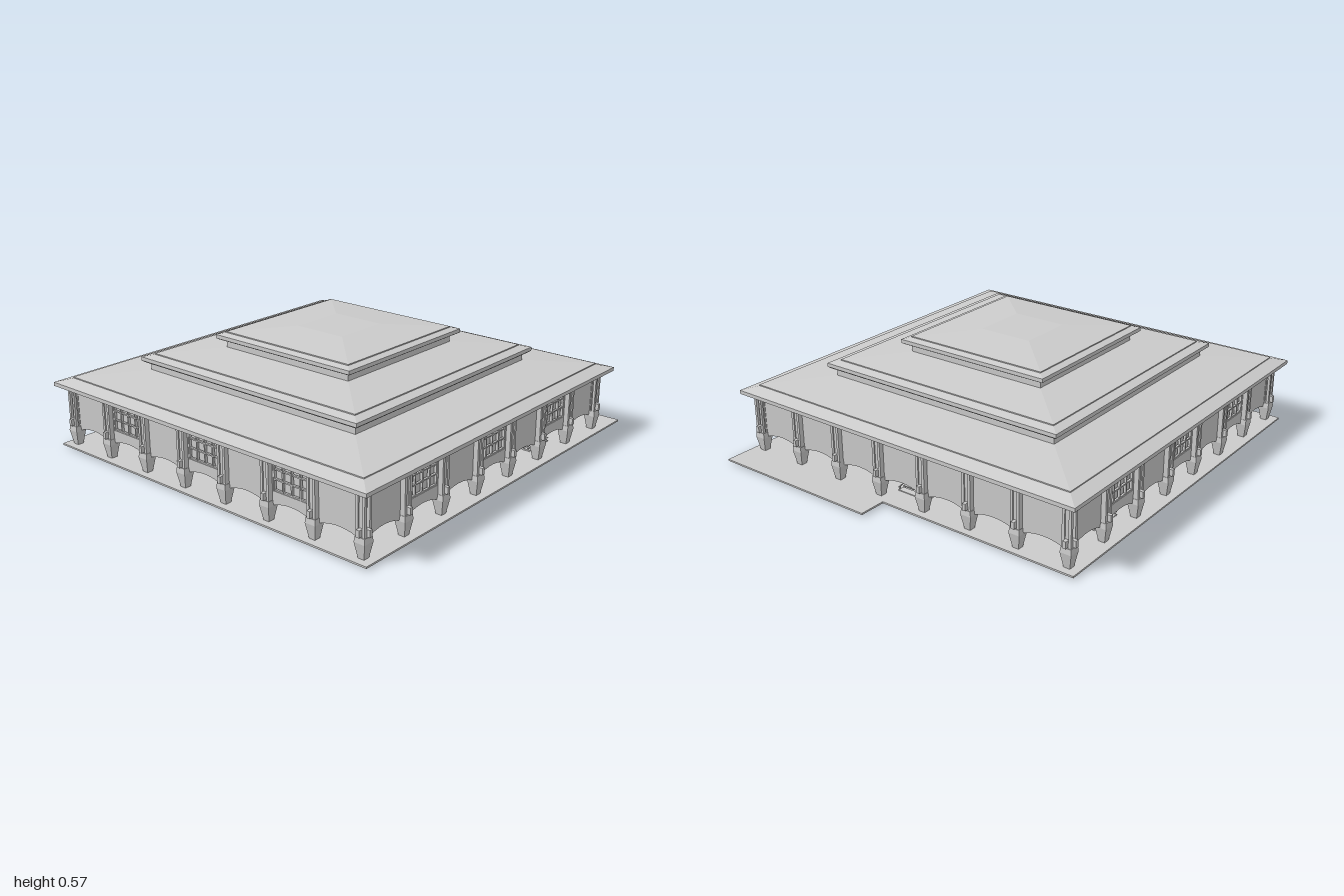
import * as THREE from 'three';

const mat = new THREE.MeshStandardMaterial({ color: 0xcccccc, side: THREE.DoubleSide });
const CX = -0.06;      // building axis
const LINE = 0.875;    // column line, measured from the axis
const BAY = 0.25;

function add(parent, name, geo, x = 0, y = 0, z = 0) {
  const m = new THREE.Mesh(geo, mat);
  m.name = name;
  m.position.set(x, y, z);
  parent.add(m);
  return m;
}
const box = (w, h, d) => new THREE.BoxGeometry(w, h, d);

// Square solid from a profile of [half width, height] pairs
function squareLathe(profile) {
  const pts = profile.map(([r, y]) => new THREE.Vector2(r * Math.SQRT2, y));
  const g = new THREE.LatheGeometry(pts, 4, Math.PI / 4).toNonIndexed();
  g.computeVertexNormals();
  return g;
}

// L-shaped paving, wider along the front half of the left side
function paving(inset, h) {
  const a = inset, s = new THREE.Shape();
  [[-0.985 + a, -0.93 + a], [0.995 - a, -0.93 + a], [0.995 - a, -0.07 - a],
    [0.865 - a, -0.07 - a], [0.865 - a, 0.93 - a], [-0.985 + a, 0.93 - a]]
    .forEach(([x, y], i) => (i ? s.lineTo(x, y) : s.moveTo(x, y)));
  return new THREE.ExtrudeGeometry(s, { depth: h, bevelEnabled: false }).rotateX(-Math.PI / 2);
}

// Wall of seven bays with arched lower edge and optional window holes
function wallGeometry(windowBays) {
  const s = new THREE.Shape();
  const half = 3.5 * BAY;
  s.moveTo(-half, 0.302);
  s.lineTo(-half, 0.083);
  for (let i = 0; i < 7; i++) {
    const x = -half + i * BAY;
    s.lineTo(x + 0.025, 0.088);
    s.quadraticCurveTo(x + BAY / 2, 0.126, x + BAY - 0.025, 0.088);
    s.lineTo(x + BAY, 0.083);
  }
  s.lineTo(half, 0.302);
  for (const i of windowBays) {
    const x = (i - 3) * BAY, h = new THREE.Path();
    h.moveTo(x - 0.098, 0.152);
    h.lineTo(x - 0.098, 0.298);
    h.lineTo(x + 0.098, 0.298);
    h.lineTo(x + 0.098, 0.152);
    h.closePath();
    s.holes.push(h);
  }
  return new THREE.ExtrudeGeometry(s, { depth: 0.02, bevelEnabled: false, curveSegments: 10 });
}

function windowUnit(x) {
  const g = new THREE.Group();
  g.name = 'window';
  g.position.set(x, 0.225, 0.865);
  add(g, 'pane', box(0.196, 0.146, 0.004), 0, 0, -0.012);
  for (const u of [-0.095, -0.048, 0, 0.048, 0.095]) add(g, 'mullion', box(0.006, 0.146, 0.012), u, 0, 0);
  for (const v of [-0.07, -0.022, 0.022, 0.07]) add(g, 'glazingBar', box(0.196, 0.006, 0.01), 0, v, 0);
  return g;
}

// Tapered leg, paired posts and a small projecting bracket
function column(corner) {
  const g = new THREE.Group();
  g.name = corner ? 'cornerColumn' : 'column';
  add(g, 'leg', squareLathe([[0, 0.015], [0.015, 0.015], [0.027, 0.085], [0.024, 0.11], [0, 0.11]]));
  add(g, 'postCore', box(0.02, 0.2, 0.03), 0, 0.205, 0);
  const depths = corner ? [-0.015, 0.015] : [0];
  for (const x of [-0.016, 0.016]) for (const z of depths)
    add(g, 'post', box(0.013, 0.2, corner ? 0.013 : 0.042), x, 0.205, z);
  add(g, 'bracket', box(0.016, 0.032, 0.04), 0, 0.13, 0.017);
  if (corner) add(g, 'bracket', box(0.04, 0.032, 0.016), 0.017, 0.13, 0);
  return g;
}

// Short flight with handrails, descending towards +z
function stairs() {
  const g = new THREE.Group();
  g.name = 'stairs';
  const n = 5, run = 0.034;
  for (let i = 0; i < n; i++)
    add(g, 'tread', box(0.165, 0.004, 0.032), 0, 0.048 - i * 0.007, 0.657 + i * run);
  for (const x of [-0.08, 0.08]) {
    const stringer = add(g, 'stringer', box(0.005, 0.008, 0.175), x, 0.03, 0.725);
    const rail = add(g, 'handrail', box(0.004, 0.004, 0.175), x, 0.052, 0.725);
    stringer.rotation.x = rail.rotation.x = 0.2;
    for (const i of [0, 2, 4]) add(g, 'railPost', box(0.004, 0.026, 0.004), x, 0.053 - i * 0.008, 0.65 + i * 0.0375);
  }
  return g;
}

export function createModel() {
  const model = new THREE.Group();
  model.name = 'pavilion';
  add(model, 'pavingBase', paving(0.02, 0.008));
  add(model, 'pavingTop', paving(0, 0.008), 0, 0.008, 0);

  const hall = new THREE.Group();
  hall.name = 'hall';
  hall.position.x = CX;
  model.add(hall);

  // Raised floor and the recessed core beneath it
  add(hall, 'floor', box(1.73, 0.01, 1.73), 0, 0.11, 0);
  add(hall, 'undercroft', box(1.08, 0.075, 1.26), -0.15, 0.0725, 0);

  // Three stacked roofs with stepped eaves
  add(hall, 'lowerRoof', squareLathe([[0, 0.302], [0.93, 0.302], [0.94, 0.307], [0.94, 0.325],
    [0.875, 0.343], [0.875, 0.348], [0.62, 0.375]]));
  add(hall, 'middleWall', squareLathe([[0.62, 0.37], [0.62, 0.415]]));
  add(hall, 'middleRoof', squareLathe([[0.6, 0.412], [0.64, 0.412], [0.65, 0.42], [0.65, 0.438],
    [0.605, 0.448], [0.605, 0.453], [0.37, 0.476]]));
  add(hall, 'upperWall', squareLathe([[0.37, 0.47], [0.37, 0.518]]));
  add(hall, 'upperRoof', squareLathe([[0.35, 0.514], [0.395, 0.514], [0.405, 0.52], [0.405, 0.538],
    [0.37, 0.546], [0.37, 0.551], [0.135, 0.571], [0, 0.571]]));

  // Four sides: front, left, back, right
  ['frontSide', 'leftSide', 'backSide', 'rightSide'].forEach((name, k) => {
    const side = new THREE.Group();
    side.name = name;
    side.rotation.y = k * Math.PI / 2;
    hall.add(side);
    const bays = k === 1 ? [] : [1, 3, 5];
    add(side, 'archedWall', wallGeometry(bays), 0, 0, 0.853);
    bays.forEach((i) => side.add(windowUnit((i - 3) * BAY)));
    add(side, 'wallPlate', box(1.76, 0.01, 0.012), 0, 0.297, 0.877);
    for (let i = 1; i <= 7; i++) {
      const c = column(i === 7);
      c.position.set((i - 3.5) * BAY, 0, LINE);
      side.add(c);
    }
    // Stairs on three of the sides
    if (k < 3) {
      const st = stairs();
      st.position.x = [0.5, 0, -0.5][k];
      side.add(st);
    }
  });
  return model;
}
